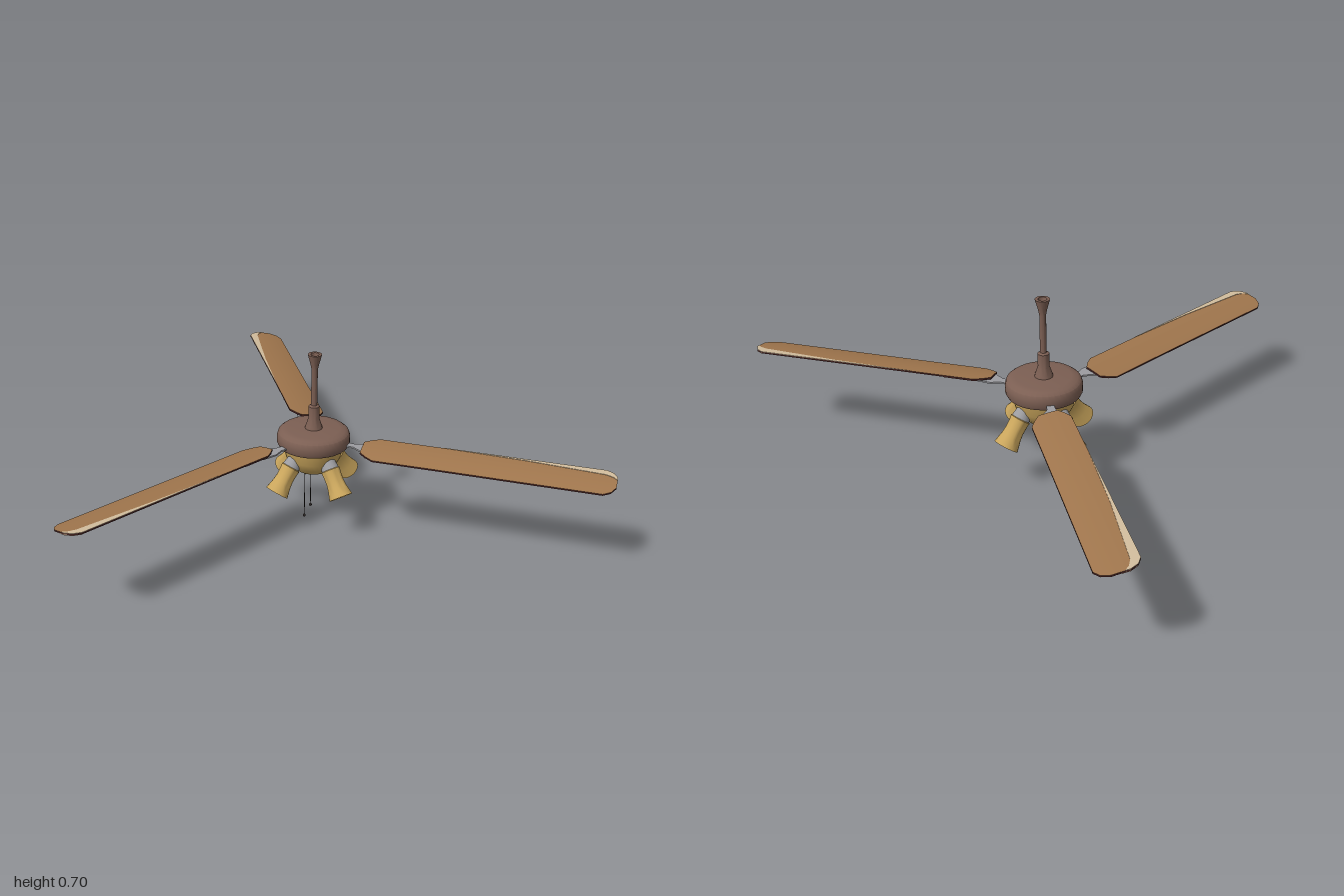
import * as THREE from 'three';
import { toCreasedNormals } from 'three/addons/utils/BufferGeometryUtils.js';

const mat = (name, color, side = THREE.FrontSide) => {
  const m = new THREE.MeshStandardMaterial({ color, side });
  m.name = name;
  return m;
};

export function createModel() {
  const bronze = mat('bronze', 0x7c5f53);
  const brass = mat('brass', 0xc9a55c, THREE.DoubleSide);
  const wood = mat('wood', 0xa0764d);
  const maroon = mat('dark maroon', 0x42201f);
  const cream = mat('cream', 0xd2bd9d);
  const steel = mat('steel', 0x9c9ca0);
  const glass = mat('pale glass', 0xb8b8b8);
  const black = mat('black', 0x2a2422);

  const fan = new THREE.Group();
  fan.name = 'ceilingFan';
  fan.position.set(-0.015, 0, -0.25);

  const add = (parent, name, geometry, material, x = 0, y = 0, z = 0) => {
    const mesh = new THREE.Mesh(geometry, material);
    mesh.name = name;
    mesh.position.set(x, y, z);
    parent.add(mesh);
    return mesh;
  };
  // Profiles run upward as [radius, height]
  const lathe = (points, sides = 32) => toCreasedNormals(
    new THREE.LatheGeometry(points.map(p => new THREE.Vector2(...p)), sides), 0.6);

  // Mounting rod with its flared canopy and collar
  add(fan, 'downRod', lathe([
    [0.036, 0.395], [0.031, 0.415], [0.021, 0.445], [0.021, 0.495], [0.012, 0.5],
    [0.012, 0.645], [0.016, 0.665], [0.027, 0.705], [0.016, 0.705], [0.012, 0.68], [0, 0.68],
  ], 20), bronze);

  // Motor housing
  add(fan, 'motorHousing', lathe([
    [0, 0.33], [0.118, 0.33], [0.134, 0.338], [0.14, 0.35], [0.14, 0.376],
    [0.135, 0.391], [0.122, 0.401], [0.1, 0.404], [0, 0.406],
  ], 40), bronze);

  // Rounded bowl below the housing
  add(fan, 'lightBowl', lathe([
    [0, 0.218], [0.035, 0.222], [0.066, 0.236], [0.09, 0.26], [0.106, 0.29], [0.115, 0.334],
  ], 32), brass);

  // Four spotlights leaning outward
  const shade = lathe([
    [0.046, -0.145], [0.043, -0.132], [0.037, -0.105], [0.034, -0.08],
    [0.035, -0.05], [0.037, -0.034], [0.032, -0.03], [0, -0.03],
  ], 24);
  const collar = new THREE.CylinderGeometry(0.028, 0.034, 0.04, 20);
  const reflector = new THREE.CylinderGeometry(0.036, 0.038, 0.006, 20);
  const bulb = new THREE.SphereGeometry(0.024, 16, 10);
  for (let i = 0; i < 4; i++) {
    const arm = new THREE.Group();
    arm.name = 'spotlight' + (i + 1);
    arm.rotation.y = i * Math.PI / 2 - 0.09;
    const lamp = new THREE.Group();
    lamp.name = 'lampHead';
    lamp.position.set(0.088, 0.293, 0);
    lamp.rotation.z = 0.64;
    add(lamp, 'lampCollar', collar, steel, 0, -0.012);
    add(lamp, 'lampShade', shade, brass);
    add(lamp, 'reflector', reflector, glass, 0, -0.125);
    add(lamp, 'bulb', bulb, glass, 0, -0.12);
    arm.add(lamp);
    fan.add(arm);
  }

  // Blade plan: distance from the hub and half width at each station
  const stations = [[0.2, 0.034], [0.225, 0.053], [0.255, 0.069], [0.37, 0.069], [0.5, 0.069],
    [0.8, 0.07], [1.095, 0.071], [1.122, 0.056], [1.138, 0.028]];
  // Blade height across its width: t = 1 is the raised edge, -1 the drooping edge
  const bladeHeight = t => 0.367 + 0.013 * t - 0.005 * t * t;
  // Curved sheet following the blade from edge position inner(k) to the raised edge
  const sheet = (rows, thickness, lift, inner) => {
    const n = rows.length - 1;
    const g = new THREE.BoxGeometry(1, 1, 1, 8, 1, n);
    const p = g.attributes.position;
    for (let i = 0; i < p.count; i++) {
      const k = Math.round((p.getZ(i) + 0.5) * n);
      const [u, half] = rows[k];
      const start = inner(k);
      const t = start + (1 - start) * (p.getX(i) + 0.5);
      const drop = p.getY(i) < 0 ? thickness : 0;
      p.setXYZ(i, -0.03 + t * half, bladeHeight(t * half / 0.071) + lift - drop, u);
    }
    g.computeVertexNormals();
    return g;
  };
  const bladeGeometry = sheet(stations, 0.006, 0, () => -1);
  // Tapered pale strip along the raised edge, widest at the tip
  const stripStart = [0.99, 0.85, 0.55, 0.5, 0.45];
  const stripGeometry = sheet(stations.slice(4), 0.002, 0.0015, k => stripStart[k]);
  // Underside patches: pale tip, dark root and a round spot
  const tipGeometry = sheet(stations.slice(6), 0.003, -0.0045, () => 0.1);
  const rootStart = [-1, -1, -0.6, 0.6];
  const rootGeometry = sheet(stations.slice(0, 4), 0.003, -0.0045, k => rootStart[k]);
  const spotGeometry = new THREE.CylinderGeometry(0.033, 0.033, 0.003, 24);

  // Flat forked bracket joining the housing to a blade
  const plan = new THREE.Shape([[-0.02, 0.12], [0.008, 0.12], [0.004, 0.165], [0.016, 0.2],
    [0.008, 0.26], [-0.06, 0.26], [-0.062, 0.215], [-0.026, 0.165]]
    .map(([x, z]) => new THREE.Vector2(x, -z)));
  const bracketGeometry = new THREE.ExtrudeGeometry(plan, { depth: 0.006, bevelEnabled: false });
  bracketGeometry.rotateX(-Math.PI / 2);

  // Each blade: angle about the hub and sideways shift
  const bladeFaces = [maroon, maroon, wood, wood, maroon, maroon];
  const layout = [[0.03, -0.022], [2 * Math.PI / 3 + 0.008, 0], [-2 * Math.PI / 3, 0]];
  layout.forEach(([angle, shift], i) => {
    const arm = new THREE.Group();
    arm.name = 'bladeArm' + (i + 1);
    arm.rotation.y = angle;
    add(arm, 'blade', bladeGeometry, bladeFaces, shift);
    add(arm, 'bladeEdgeStrip', stripGeometry, cream, shift);
    add(arm, 'bladeTipPatch', tipGeometry, cream, shift);
    add(arm, 'bladeRootPatch', rootGeometry, maroon, shift);
    add(arm, 'bladeSpot', spotGeometry, brass, shift - 0.03, 0.3585, 0.83).rotation.z = 0.183;
    add(arm, 'bladeBracket', bracketGeometry, steel, shift / 2, 0.352);
    fan.add(arm);
  });

  // Two pull chains ending in small beads
  for (const [x, bottom] of [[-0.043, 0.006], [-0.009, 0.068]]) {
    const length = 0.24 - bottom;
    add(fan, 'pullChain', new THREE.CylinderGeometry(0.0015, 0.0015, length, 6), black, x, bottom + length / 2, 0.002);
    add(fan, 'chainBead', new THREE.SphereGeometry(0.006, 10, 8), black, x, bottom, 0.002);
  }

  const model = new THREE.Group();
  model.name = 'model';
  model.add(fan);
  return model;
}
